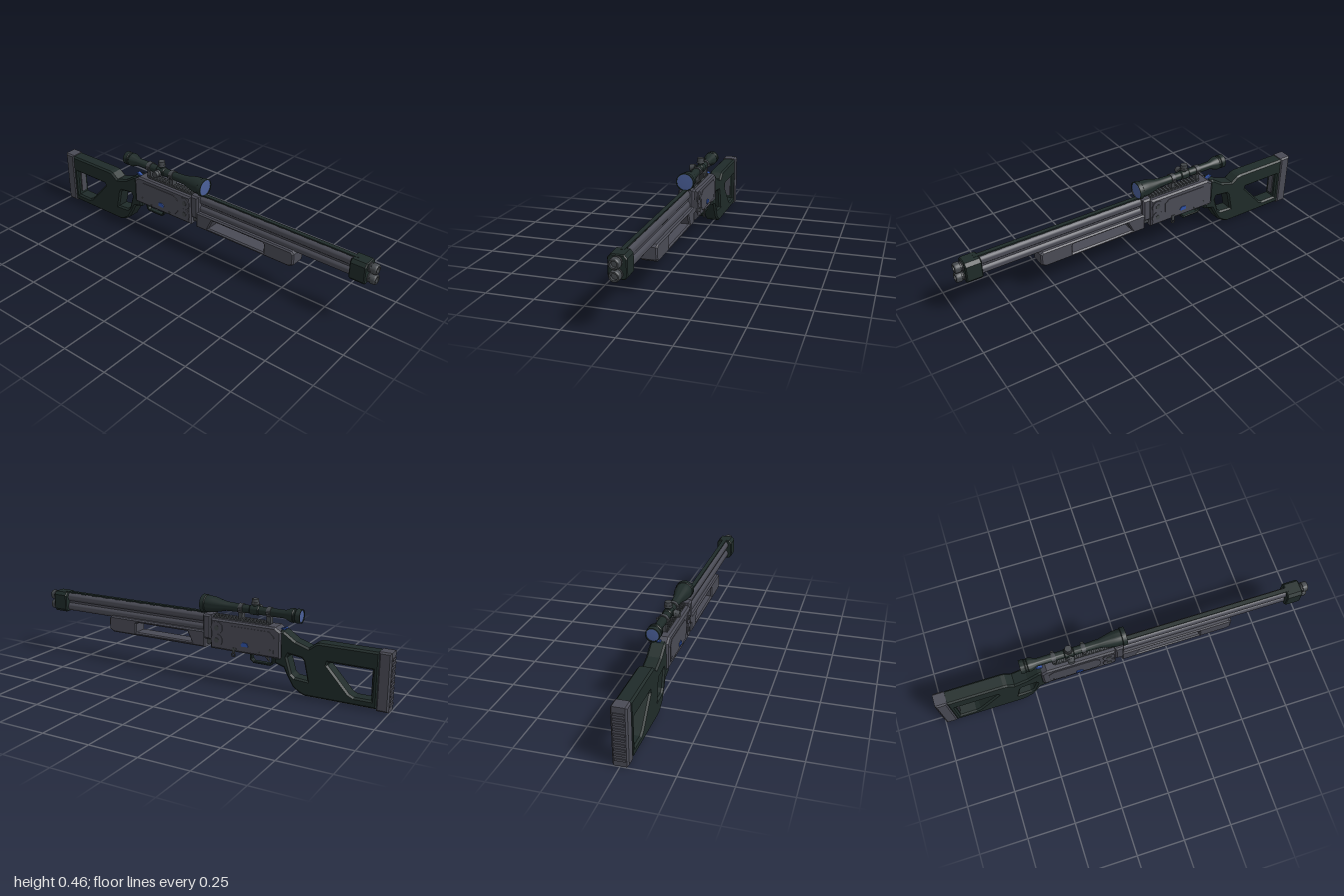
import * as THREE from 'three';
import { mergeVertices, toCreasedNormals } from 'three/addons/utils/BufferGeometryUtils.js';

export function createModel() {
  const root = new THREE.Group();
  const mat = (name, color) => {
    const m = new THREE.MeshStandardMaterial({ color });
    m.name = name;
    return m;
  };
  const grey = mat('gunmetal', 0x4a4b55);
  const green = mat('dark green polymer', 0x1f2b29);
  const steel = mat('worn steel', 0x43474b);
  const blue = mat('blue accent', 0x2f52a8);
  const glass = mat('lens blue', 0x4a5f99);

  const add = (name, geo, material, x = 0, y = 0, z = 0) => {
    const m = new THREE.Mesh(geo, material);
    m.name = name;
    m.position.set(x, y, z);
    root.add(m);
    return m;
  };
  const toPoints = (list) => list.map(([x, y]) => new THREE.Vector2(x, y));

  // side profile extruded through z, with chamfered edges inside the outline
  const slab = (name, pts, holes, halfZ, bevel, material, z = 0) => {
    const shape = new THREE.Shape(toPoints(pts));
    holes.forEach((h) => shape.holes.push(new THREE.Path(toPoints(h))));
    const geo = new THREE.ExtrudeGeometry(shape, {
      depth: 2 * (halfZ - bevel), bevelEnabled: bevel > 0, bevelThickness: bevel,
      bevelSize: bevel, bevelOffset: -bevel, bevelSegments: 1,
    });
    geo.translate(0, 0, -(halfZ - bevel));
    return add(name, geo, material, 0, 0, z);
  };
  const box = (name, x0, x1, y0, y1, halfZ, material, z = 0) =>
    add(name, new THREE.BoxGeometry(x1 - x0, y1 - y0, 2 * halfZ), material, (x0 + x1) / 2, (y0 + y1) / 2, z);

  // turned part along x: profile of [x, radius]
  const turned = (name, profile, material, y, sides = 24) => {
    const geo = new THREE.LatheGeometry(profile.map(([x, r]) => new THREE.Vector2(r, x)), sides);
    geo.rotateZ(-Math.PI / 2);
    geo.deleteAttribute('normal');
    geo.deleteAttribute('uv');
    return add(name, toCreasedNormals(mergeVertices(geo, 1e-5), 0.6), material, 0, y, 0);
  };
  const disc = (name, r, x, y, z, depth, material, sides = 24) => {
    const geo = new THREE.CylinderGeometry(r, r, depth, sides).rotateX(Math.PI / 2);
    return add(name, geo, material, x, y, z);
  };

  // skeleton stock with two openings
  slab('stock', [
    [-0.94, 0.008], [-0.575, 0.008], [-0.545, 0.02], [-0.51, 0.045], [-0.48, 0.095], [-0.46, 0.135],
    [-0.41, 0.15], [-0.41, 0.18], [-0.44, 0.19], [-0.44, 0.322], [-0.46, 0.318], [-0.52, 0.278],
    [-0.59, 0.256], [-0.625, 0.283], [-0.645, 0.288], [-0.94, 0.288],
  ], [
    [[-0.91, 0.048], [-0.825, 0.048], [-0.8, 0.06], [-0.687, 0.185], [-0.69, 0.198], [-0.91, 0.198]],
    [[-0.588, 0.088], [-0.52, 0.094], [-0.503, 0.108], [-0.478, 0.19], [-0.486, 0.207], [-0.555, 0.198], [-0.566, 0.185]],
  ], 0.038, 0.009, green);
  box('stockSlotPlate', -0.912, -0.904, 0.065, 0.185, 0.016, grey);

  // butt pad with shallow ridges on its rear face
  slab('buttPad', [[-0.996, 0], [-0.935, 0], [-0.935, 0.292], [-0.996, 0.292]], [], 0.038, 0.008, grey);
  for (let i = 0; i < 10; i++) box('buttRidge', -1, -0.995, 0.026 + i * 0.025, 0.038 + i * 0.025, 0.026, grey);

  // receiver
  slab('receiver', [
    [-0.446, 0.176], [-0.055, 0.176], [-0.055, 0.335], [-0.415, 0.335], [-0.446, 0.312],
  ], [], 0.046, 0.009, grey);
  slab('barrelBlock', [[-0.056, 0.22], [-0.008, 0.22], [-0.008, 0.35], [-0.056, 0.35]], [], 0.043, 0.009, grey);
  box('hingeLug', -0.06, -0.015, 0.19, 0.225, 0.02, steel);
  for (const s of [1, -1]) {
    slab('sidePlate', [
      [-0.41, 0.2], [-0.16, 0.2], [-0.14, 0.225], [-0.14, 0.29], [-0.165, 0.31], [-0.385, 0.31], [-0.41, 0.285],
    ], [], 0.002, 0, grey, s * 0.0465);
    for (const y of [0.29, 0.225]) {
      disc('hingeDisc', 0.033, -0.093, y, s * 0.047, 0.006, grey);
      disc('hingePin', 0.013, -0.093, y, s * 0.049, 0.006, steel, 16);
    }
    slab('safetyButton', [[-0.272, 0.215], [-0.238, 0.212], [-0.232, 0.222], [-0.244, 0.235], [-0.268, 0.232]],
      [], 0.003, 0, blue, s * 0.05);
    for (const [x, y] of [[-0.39, 0.215], [-0.33, 0.195], [-0.2, 0.195]]) disc('screw', 0.006, x, y, s * 0.047, 0.006, steel, 10);
  }

  // top lever
  slab('topLever', [[-0.465, 0.33], [-0.455, 0.335], [-0.42, 0.32], [-0.42, 0.308], [-0.44, 0.31]], [], 0.01, 0.002, blue);

  // sling loop on the right-hand side
  add('slingLoop', new THREE.TorusGeometry(0.009, 0.004, 6, 14), steel, -0.19, 0.162, -0.048);
  box('slingTab', -0.197, -0.183, 0.168, 0.2, 0.003, steel, -0.049);

  // trigger and guard
  slab('triggerGuard', [
    [-0.395, 0.182], [-0.395, 0.135], [-0.38, 0.124], [-0.285, 0.124], [-0.266, 0.142], [-0.266, 0.182],
  ], [[[-0.384, 0.173], [-0.384, 0.141], [-0.375, 0.134], [-0.289, 0.134], [-0.276, 0.146], [-0.276, 0.173]]], 0.014, 0.002, green);
  slab('trigger', [[-0.362, 0.18], [-0.345, 0.18], [-0.35, 0.16], [-0.366, 0.142], [-0.372, 0.145], [-0.36, 0.162]], [], 0.006, 0.001, steel);

  // over and under barrels
  for (const y of [0.325, 0.271]) {
    turned('barrel', [[-0.02, 0], [-0.02, 0.024], [0.9, 0.024], [0.9, 0]], grey, y);
    turned('muzzle', [
      [0.88, 0], [0.88, 0.025], [0.962, 0.025], [0.964, 0.022], [0.97, 0.022], [0.972, 0.026],
      [0.994, 0.026], [1, 0.022], [1, 0.015], [0.985, 0.015], [0.985, 0],
    ], steel, y);
  }
  box('barrelJoiningRib', -0.02, 0.9, 0.282, 0.314, 0.011, grey);

  // ventilated top rib
  box('topRib', -0.01, 0.9, 0.35, 0.356, 0.011, green);
  for (let i = 0; i < 12; i++) box('ribPost', i * 0.076, i * 0.076 + 0.034, 0.342, 0.352, 0.009, green);

  // muzzle clamp, chamfered in cross-section
  const clamp = new THREE.ExtrudeGeometry(new THREE.Shape(toPoints([
    [-0.032, 0.244], [0.032, 0.244], [0.044, 0.258], [0.044, 0.338], [0.03, 0.355],
    [-0.03, 0.355], [-0.044, 0.338], [-0.044, 0.258],
  ])), { depth: 0.073, bevelThickness: 0.005, bevelSize: 0.004, bevelOffset: -0.004, bevelSegments: 1 });
  clamp.rotateY(Math.PI / 2);
  add('muzzleClamp', clamp, green, 0.881, 0, 0);

  // fore-end with long window
  slab('foreEnd', [
    [-0.02, 0.174], [0.555, 0.174], [0.58, 0.19], [0.58, 0.25], [0.565, 0.262], [-0.02, 0.262],
  ], [[[0.058, 0.192], [0.405, 0.192], [0.405, 0.238], [0.395, 0.245], [0.085, 0.245]]], 0.043, 0.007, grey);

  // scope rail with teeth
  box('rail', -0.37, -0.055, 0.333, 0.341, 0.02, steel);
  for (let i = 0; i < 16; i++) box('railTooth', -0.368 + i * 0.0195, -0.357 + i * 0.0195, 0.34, 0.349, 0.02, steel);

  // scope body and lenses
  const sy = 0.397;
  turned('scopeBody', [
    [-0.525, 0], [-0.525, 0.03], [-0.536, 0.03], [-0.536, 0.035], [-0.512, 0.036], [-0.508, 0.033], [-0.5, 0.033],
    [-0.496, 0.036], [-0.482, 0.035], [-0.45, 0.021], [-0.2, 0.021], [-0.125, 0.024], [-0.055, 0.041],
    [-0.015, 0.043], [-0.012, 0.047], [0.01, 0.047], [0.01, 0.042], [0, 0.042], [0, 0],
  ], green, sy, 28);
  turned('frontLens', [[0, 0], [0, 0.0425], [0.007, 0.0425], [0.009, 0]], glass, sy, 28);
  turned('rearLens', [[-0.534, 0], [-0.532, 0.0305], [-0.525, 0.0305], [-0.525, 0]], glass, sy, 28);

  // scope mounts
  for (const x of [-0.365, -0.21]) {
    turned('scopeRing', [[x - 0.011, 0.02], [x - 0.011, 0.026], [x + 0.011, 0.026], [x + 0.011, 0.02]], steel, sy);
    box('scopeFoot', x - 0.011, x + 0.011, 0.338, 0.378, 0.016, steel);
    for (const s of [1, -1]) box('ringClampLug', x - 0.008, x + 0.008, 0.391, 0.403, 0.005, steel, s * 0.028);
  }

  // adjustment turrets: top and left-hand side
  turned('turretCollar', [[-0.312, 0.02], [-0.306, 0.025], [-0.264, 0.025], [-0.258, 0.02]], green, sy);
  const turret = (name) => {
    const g = new THREE.Group();
    g.name = name;
    [[0.014, 0.02, 0.032, green], [0.021, 0.036, 0.011, steel], [0.018, 0.05, 0.017, steel]].forEach(([r, y, h, m]) => {
      const part = new THREE.Mesh(new THREE.CylinderGeometry(r * 0.95, r, h, 20), m);
      part.name = name + 'Section';
      part.position.y = y;
      g.add(part);
    });
    g.position.set(-0.285, sy, 0);
    root.add(g);
    return g;
  };
  turret('topTurret');
  turret('sideTurret').rotation.x = Math.PI / 2;

  return root;
}
